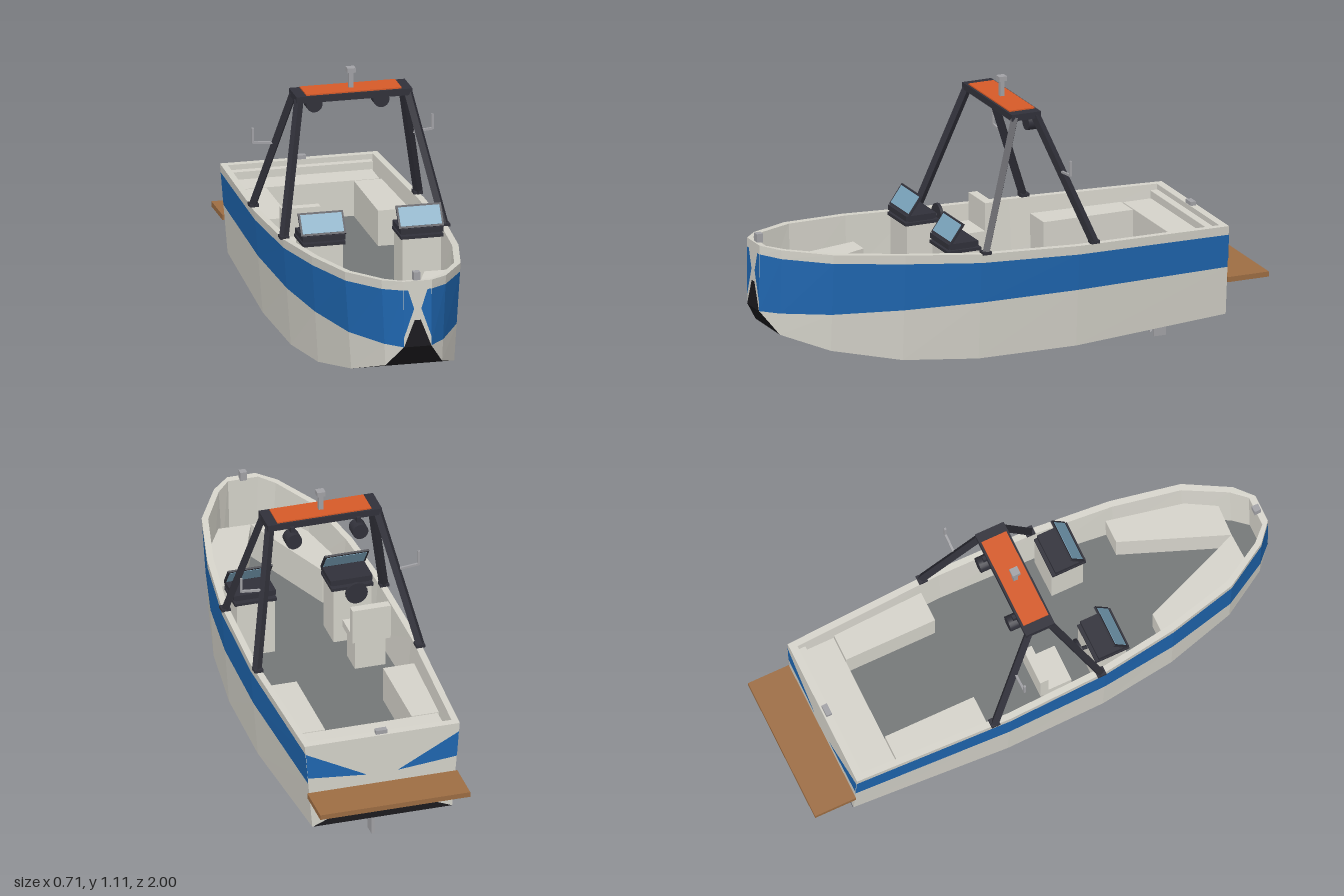
import * as THREE from 'three';

const mat = (name, color, side = THREE.FrontSide) => {
  const m = new THREE.MeshStandardMaterial({ color, side });
  m.name = name;
  return m;
};

// hull stations: z, half width at rim, half width at chine, rim height, chine height
const STATIONS = [
  [-0.83, 0.305, 0.275, 0.5, 0.145],
  [-0.2, 0.33, 0.298, 0.513, 0.11],
  [0.2, 0.32, 0.29, 0.53, 0.11],
  [0.5, 0.285, 0.26, 0.555, 0.135],
  [0.77, 0.225, 0.2, 0.575, 0.19],
  [0.94, 0.125, 0.11, 0.588, 0.25],
  [1.0, 0.055, 0.053, 0.595, 0.335],
];

function station(z) {
  let i = 0;
  while (i < STATIONS.length - 2 && z > STATIONS[i + 1][0]) i++;
  const a = STATIONS[i], b = STATIONS[i + 1];
  const t = (z - a[0]) / (b[0] - a[0]);
  return a.map((v, k) => v + (b[k] - v) * t);
}

// point on the hull side at a given height
function sidePoint(z, y, inset = 0) {
  const [, top, chine, yTop, yChine] = station(z);
  const t = THREE.MathUtils.clamp((y - yChine) / (yTop - yChine), 0, 1);
  return [chine + (top - chine) * t - inset, y, z];
}

export function createModel() {
  const boat = new THREE.Group();
  boat.name = 'boat';
  const D = THREE.DoubleSide;
  const white = mat('off white', 0xd5d3ca, D), blue = mat('stripe blue', 0x1f67b1, D);
  const black = mat('bottom black', 0x1b1a1e, D), dark = mat('arch charcoal', 0x31313a);
  const grey = mat('deck grey', 0x747777, D), orange = mat('roof orange', 0xd65a28);
  const wood = mat('platform brown', 0x9d6d43), glass = mat('window glass', 0x7ba5bd, D);
  const metal = mat('metal', 0xa2a2a6);

  const add = (name, geo, material, x = 0, y = 0, z = 0, parent = boat) => {
    const m = new THREE.Mesh(geo, material);
    m.name = name;
    m.position.set(x, y, z);
    parent.add(m);
    return m;
  };
  const box = (name, material, w, h, d, x, y, z, parent) =>
    add(name, new THREE.BoxGeometry(w, h, d), material, x, y, z, parent);

  // flat-faced strip between two rows of points
  const strip = (name, a, b, material) => {
    const p = [];
    for (let i = 0; i < a.length - 1; i++)
      p.push(...a[i], ...a[i + 1], ...b[i], ...a[i + 1], ...b[i + 1], ...b[i]);
    const g = new THREE.BufferGeometry();
    g.setAttribute('position', new THREE.Float32BufferAttribute(p, 3));
    g.computeVertexNormals();
    return add(name, g, material);
  };
  const flip = row => row.map(([x, y, z]) => [-x, y, z]);
  const mirrored = (name, a, b, material) => {
    strip(name + 'Left', a, b, material);
    strip(name + 'Right', flip(b), flip(a), material);
  };
  // square or round bar between two points
  const bar = (name, a, b, r, material, sides = 4) => {
    const p = new THREE.Vector3(...a), q = new THREE.Vector3(...b);
    const d = q.clone().sub(p);
    const g = new THREE.CylinderGeometry(r, r, d.length(), sides);
    if (sides === 4) g.rotateY(Math.PI / 4);
    const m = add(name, sides < 8 ? g.toNonIndexed() : g, material);
    m.geometry.computeVertexNormals();
    m.position.copy(p).add(q).multiplyScalar(0.5);
    m.quaternion.setFromUnitVectors(new THREE.Vector3(0, 1, 0), d.normalize());
  };
  // upright prism from an x-z outline
  const prism = (name, pts, y0, y1, material) => {
    const s = new THREE.Shape(pts.map(([x, z]) => new THREE.Vector2(x, z)));
    const g = new THREE.ExtrudeGeometry(s, { depth: y1 - y0, bevelEnabled: false });
    g.rotateX(Math.PI / 2);
    add(name, g, material, 0, y1, 0);
  };
  // flat x-y face
  const face = (name, pts, z, material) =>
    add(name, new THREE.ShapeGeometry(new THREE.Shape(pts.map(p => new THREE.Vector2(...p)))), material, 0, 0, z);

  // outer hull in colour bands
  const FLOOR = 0.31, STRIPE = 0.335;
  const zs = STATIONS.map(s => s[0]);
  const rim = zs.map(z => sidePoint(z, station(z)[3]));
  const stripeTop = zs.map(z => sidePoint(z, station(z)[3] - 0.035));
  const stripeLow = zs.map(z => sidePoint(z, STRIPE));
  const chine = zs.map(z => sidePoint(z, station(z)[4]));
  mirrored('sheerBand', stripeTop, rim, white);
  mirrored('stripe', stripeLow, stripeTop, blue);
  mirrored('lowerSide', chine, stripeLow, white);
  strip('bottom', chine, flip(chine), black);

  // inner walls, gunwale and floor
  const inner = [-0.8, -0.2, 0.2, 0.5, 0.76, 0.92, 0.975];
  const innerTop = inner.map(z => sidePoint(z, station(z)[3], 0.025));
  const innerLow = inner.map(z => sidePoint(z, FLOOR, 0.025));
  mirrored('gunwale', rim, innerTop, white);
  mirrored('innerWall', innerTop, innerLow, white);
  strip('floor', innerLow, flip(innerLow), grey);
  for (const [name, k] of [['stern', 0], ['bow', 6]]) {
    strip(name + 'InnerWall', [innerTop[k], flip(innerTop)[k]], [innerLow[k], flip(innerLow)[k]], white);
    strip(name + 'Rim', [rim[k], flip(rim)[k]], [innerTop[k], flip(innerTop)[k]], white);
    strip(name + 'Face', [rim[k], flip(rim)[k]], [chine[k], flip(chine)[k]], white);
  }
  // painted pieces on bow and stern faces
  for (const s of [1, -1]) {
    face('bowStripe', [[s * 0.054, 0.56], [s * 0.038, 0.56], [s * 0.014, 0.485], [s * 0.054, 0.37]], 1.001, blue);
    face('sternStripe', [[s * 0.301, 0.465], [s * 0.293, 0.36], [s * 0.06, 0.338]], -0.832, blue);
  }
  face('bowPaint', [[-0.053, 0.335], [0.053, 0.335], [0.012, 0.44], [-0.012, 0.44]], 1.001, black);
  face('sternPaint', [[-0.274, 0.146], [0.274, 0.146], [0, 0.26]], -0.832, black);

  // benches
  const wallX = z => station(z)[1] - 0.035;
  for (const s of [1, -1]) {
    prism('sideBench', [[s * 0.17, -0.65], [s * wallX(-0.65), -0.65], [s * wallX(-0.28), -0.28], [s * 0.17, -0.28]],
      FLOOR, 0.45, white);
    prism('bowBench', [[s * 0.16, 0.47], ...[0.47, 0.77, 0.88].map(z => [s * wallX(z), z]), [0, 0.875]],
      FLOOR, 0.45, white);
  }
  box('sternBench', white, 0.54, 0.14, 0.14, 0, 0.38, -0.725);
  box('sternLedge', white, 0.55, 0.17, 0.03, 0, 0.395, -0.785);

  // two consoles with windscreens
  for (const s of [1, -1]) {
    const c = new THREE.Group();
    c.name = s > 0 ? 'leftConsole' : 'rightConsole';
    c.position.x = s * 0.19;
    boat.add(c);
    box('consoleBase', white, 0.15, 0.225, 0.13, 0, 0.42, 0.245, c);
    box('dashboard', dark, 0.165, 0.012, 0.14, 0, 0.537, 0.25, c);
    box('dashTop', dark, 0.165, 0.02, 0.125, 0, 0.56, 0.255, c);
    box('dashCore', dark, 0.145, 0.03, 0.1, 0, 0.55, 0.25, c);
    const w = new THREE.Group();
    w.name = 'windscreen';
    w.position.set(0, 0.607, 0.281);
    w.rotation.x = -0.62;
    c.add(w);
    box('windscreenFrame', dark, 0.175, 0.092, 0.008, 0, 0, 0, w);
    for (const f of [1, -1]) box('windscreenGlass', glass, 0.16, 0.076, 0.002, 0, 0, f * 0.0045, w);
  }

  // helm seat and steering wheel
  box('seatBase', white, 0.12, 0.13, 0.1, -0.195, 0.375, 0.02);
  box('seatCushion', white, 0.15, 0.03, 0.13, -0.195, 0.45, 0.015);
  box('seatBack', white, 0.15, 0.13, 0.035, -0.195, 0.51, -0.033);
  const wheel = add('steeringWheel', new THREE.CylinderGeometry(0.043, 0.043, 0.012, 20), dark, -0.195, 0.532, 0.147);
  wheel.rotation.x = Math.PI / 2;
  bar('steeringColumn', [-0.195, 0.532, 0.147], [-0.195, 0.52, 0.19], 0.008, dark, 8);

  // arch with roof plate
  box('archTop', dark, 0.45, 0.026, 0.12, 0, 1.017, -0.028);
  box('roofPlate', orange, 0.37, 0.006, 0.104, 0, 1.032, -0.028);
  for (const s of [1, -1]) {
    bar('archFrontLeg', [s * 0.212, 1.015, 0.015], [s * 0.312, 0.53, 0.18], 0.018, dark);
    bar('archBackLeg', [s * 0.212, 1.015, -0.07], [s * 0.322, 0.515, -0.265], 0.018, dark);
    box('archFoot', dark, 0.035, 0.012, 0.035, s * 0.312, 0.533, 0.18);
    box('archFoot', dark, 0.035, 0.012, 0.035, s * 0.318, 0.52, -0.265);
    // lamps
    const lamp = add('lamp', new THREE.CylinderGeometry(0.031, 0.031, 0.052, 18), dark, s * 0.13, 0.962, -0.094);
    lamp.rotation.x = Math.PI / 2;
    box('lampBracket', dark, 0.016, 0.03, 0.03, s * 0.13, 0.998, -0.085);
    // side hooks
    bar('hookArm', [s * 0.265, 0.795, -0.153], [s * 0.349, 0.803, -0.153], 0.006, metal);
    bar('hookTip', [s * 0.349, 0.8, -0.153], [s * 0.349, 0.86, -0.153], 0.006, metal);
  }
  box('mastPost', metal, 0.018, 0.065, 0.018, 0, 1.065, -0.028);
  box('mastLight', metal, 0.032, 0.018, 0.032, 0, 1.104, -0.028);

  // cleats
  box('bowCleat', metal, 0.026, 0.035, 0.026, 0, 0.608, 0.978);
  box('sternCleat', metal, 0.045, 0.016, 0.022, 0, 0.508, -0.812);

  // swim platform with struts
  box('swimPlatform', wood, 0.59, 0.02, 0.17, 0, 0.285, -0.915);
  for (const s of [1, -1]) {
    bar('platformStrut', [s * 0.17, 0.225, -0.835], [s * 0.17, 0.275, -0.93], 0.008, metal);
    box('strutPlate', metal, 0.03, 0.02, 0.05, s * 0.17, 0.232, -0.852);
  }

  // running gear
  box('rudder', metal, 0.012, 0.14, 0.05, 0, 0.07, -0.682);
  box('skeg', metal, 0.012, 0.065, 0.075, 0, 0.0925, -0.392);
  bar('propellerShaft', [0, 0.115, -0.43], [0, 0.073, -0.645], 0.007, metal, 10);
  bar('shaftStrut', [0, 0.135, -0.55], [0, 0.092, -0.55], 0.006, metal);
  for (const a of [0.4, 0.4 + Math.PI / 2]) {
    const blade = box('propellerBlade', metal, 0.105, 0.014, 0.008, 0, 0.073, -0.635);
    blade.rotation.z = a;
  }
  return boat;
}
